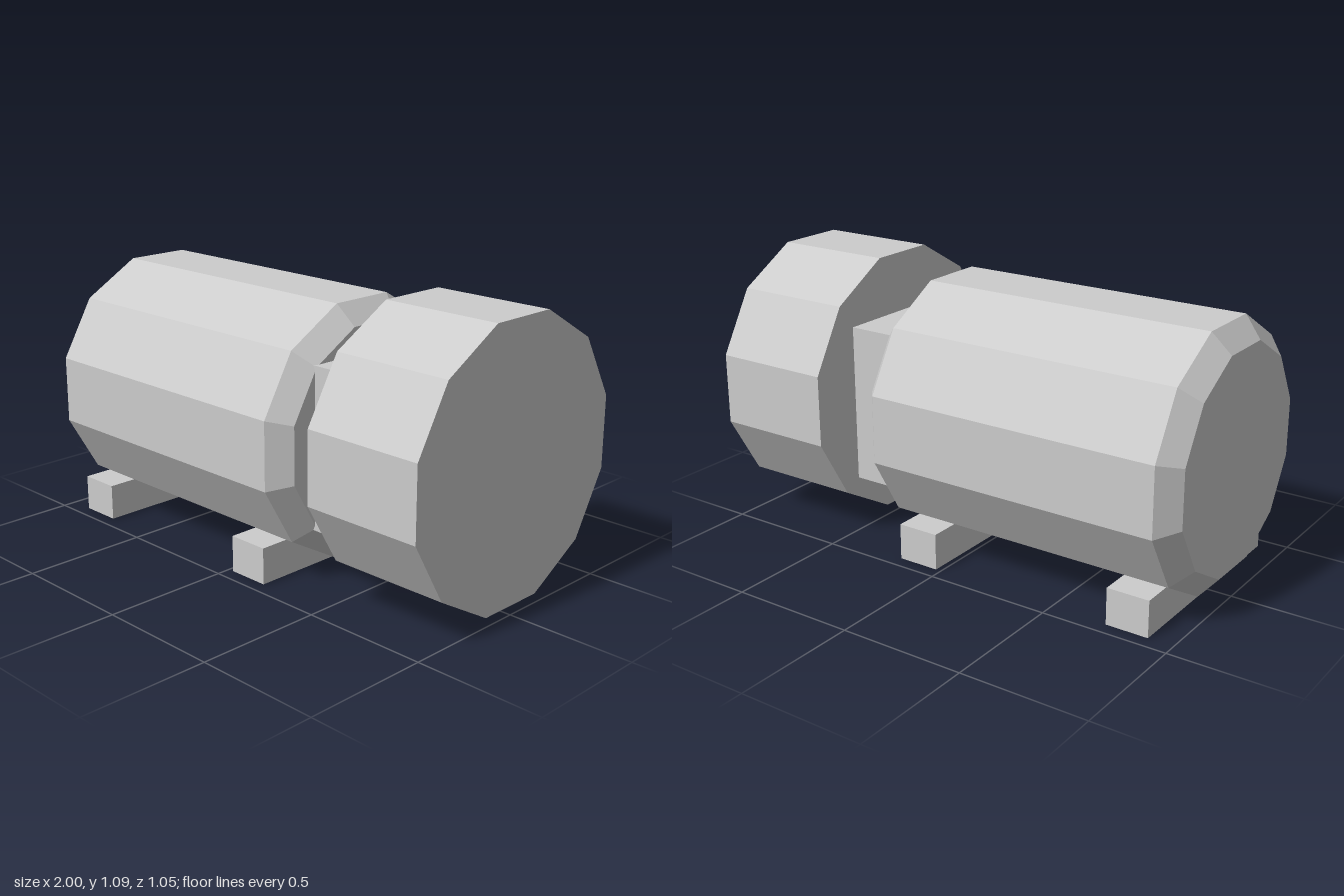
import * as THREE from 'three';

const SIDES = 12;
const FLAT_UP = Math.PI / SIDES; // turns the prisms so a flat side faces up

export function createModel() {
  const group = new THREE.Group();
  group.name = 'motor';
  const grey = new THREE.MeshStandardMaterial({ color: 0xcccccc });
  grey.name = 'light grey';

  function add(name, geometry, x, y, z) {
    const mesh = new THREE.Mesh(geometry, grey);
    mesh.name = name;
    mesh.position.set(x, y, z);
    group.add(mesh);
  }

  // Faceted body turned around the x axis; profile is [x, distance to flat side]
  function turned(profile) {
    const points = profile.map(([x, r]) => new THREE.Vector2(r / Math.cos(FLAT_UP), x));
    const geometry = new THREE.LatheGeometry(points, SIDES, FLAT_UP)
      .rotateZ(-Math.PI / 2)
      .toNonIndexed();
    geometry.computeVertexNormals();
    return geometry;
  }

  // Main housing with bevelled ends
  add('housing', turned([
    [-1, 0], [-1, 0.42], [-0.93, 0.5], [0.265, 0.5], [0.335, 0.42], [0.335, 0],
  ]), 0, 0.535, 0);

  // Square neck between housing and drum
  add('neck', new THREE.BoxGeometry(0.28, 0.63, 0.63), 0.38, 0.535, 0);

  // Wide end drum
  add('endDrum', turned([
    [0.51, 0], [0.51, 0.527], [1, 0.527], [1, 0],
  ]), 0, 0.563, 0);

  // Cross bars the housing rests on
  for (const [name, x] of [['rightFoot', -0.815], ['leftFoot', 0.108]]) {
    add(name, new THREE.BoxGeometry(0.17, 0.145, 0.89), x, 0.0725, 0);
  }

  return group;
}
